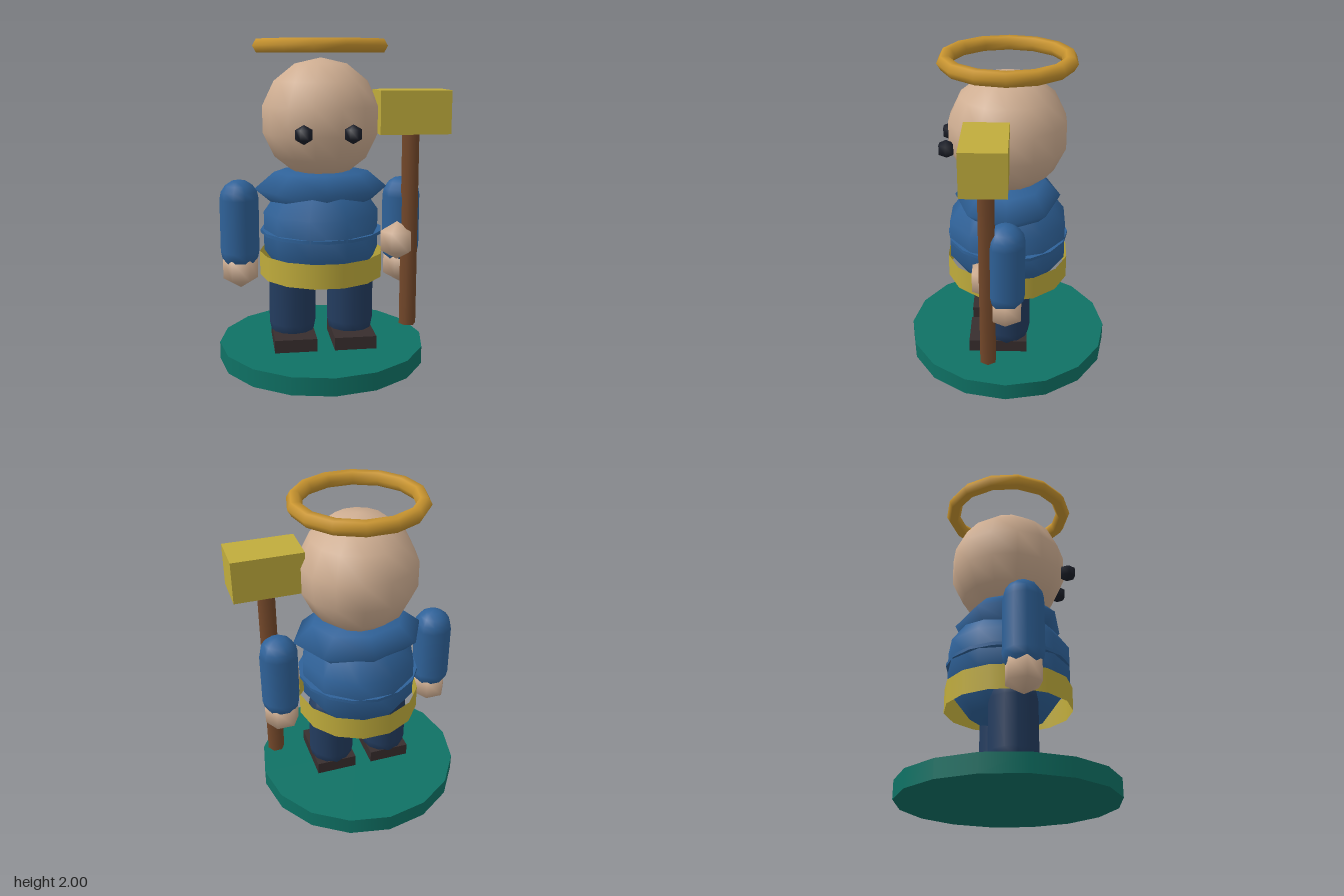
import * as THREE from 'three';

const CX = -0.055; // body centre line

export function createModel() {
  const group = new THREE.Group();
  const mat = (name, color, side = THREE.FrontSide) => {
    const m = new THREE.MeshStandardMaterial({ color, side });
    m.name = name;
    return m;
  };
  const skin = mat('skin', 0xcfae92);
  const blue = mat('blue cloth', 0x2f6299);
  const navy = mat('navy cloth', 0x233c5f);
  const boot = mat('dark leather', 0x382e2e);
  const teal = mat('teal', 0x0f7265);
  const yellow = mat('yellow', 0xc0ac3c, THREE.DoubleSide);
  const gold = mat('gold', 0xc8942f);
  const wood = mat('wood', 0x74482a);
  const black = mat('black', 0x1b1e28);

  const add = (name, geo, material, x, y, z) => {
    const mesh = new THREE.Mesh(geo, material);
    mesh.name = name;
    mesh.position.set(x, y, z);
    group.add(mesh);
    return mesh;
  };
  const ball = (r, w, h) => new THREE.SphereGeometry(r, w, h);
  // cylinder with a corner on the x axis
  const drum = (r, h, sides, open = false) =>
    new THREE.CylinderGeometry(r, r, h, sides, 1, open).rotateY(Math.PI / 2);

  // Stand
  add('base', drum(0.65, 0.11, 16), teal, CX, 0.055, 0);

  // Paired parts
  for (const [side, s] of [['left', 1], ['right', -1]]) {
    add(side + 'Boot', new THREE.BoxGeometry(0.26, 0.08, 0.37), boot, CX + s * 0.185, 0.15, 0.055);
    add(side + 'Leg', new THREE.CapsuleGeometry(0.147, 0.31, 4, 12), navy, CX + s * 0.185, 0.395, 0);
    add(side + 'Arm', new THREE.CapsuleGeometry(0.12, 0.33, 4, 10), blue, CX + s * 0.51, 0.87, 0);
    add(side + 'Hand', ball(0.125, 6, 3), skin, CX + s * 0.51, 0.592, 0);
    add(side + 'Eye', ball(0.057, 6, 3), black, CX + s * 0.142, 1.46, 0.36);
  }

  // Body, seam, belt and collar
  add('torso', ball(0.378, 10, 5), blue, CX, 0.83, 0).scale.set(1, 1.03, 1.05);
  add('tunicSeam', drum(0.38, 0.02, 16), blue, CX, 0.83, 0);
  add('belt', drum(0.387, 0.15, 14, true), yellow, CX, 0.625, 0);
  add('collar', ball(1, 8, 4), blue, CX, 1.095, 0).scale.set(0.415, 0.145, 0.33);

  // Head and halo
  add('head', ball(0.368, 14, 7), skin, CX, 1.523, 0);
  add('halo', new THREE.TorusGeometry(0.367, 0.046, 6, 14).rotateX(Math.PI / 2), gold, CX, 1.96, 0);

  // Hammer and the hand gripping it
  add('hammerShaft', drum(0.054, 1.26, 6), wood, 0.485, 0.85, 0.107);
  add('hammerHead', new THREE.BoxGeometry(0.43, 0.26, 0.26), yellow, 0.485, 1.57, 0.11);
  add('grippingHand', ball(0.122, 6, 3), skin, 0.41, 0.767, 0.107);

  return group;
}
